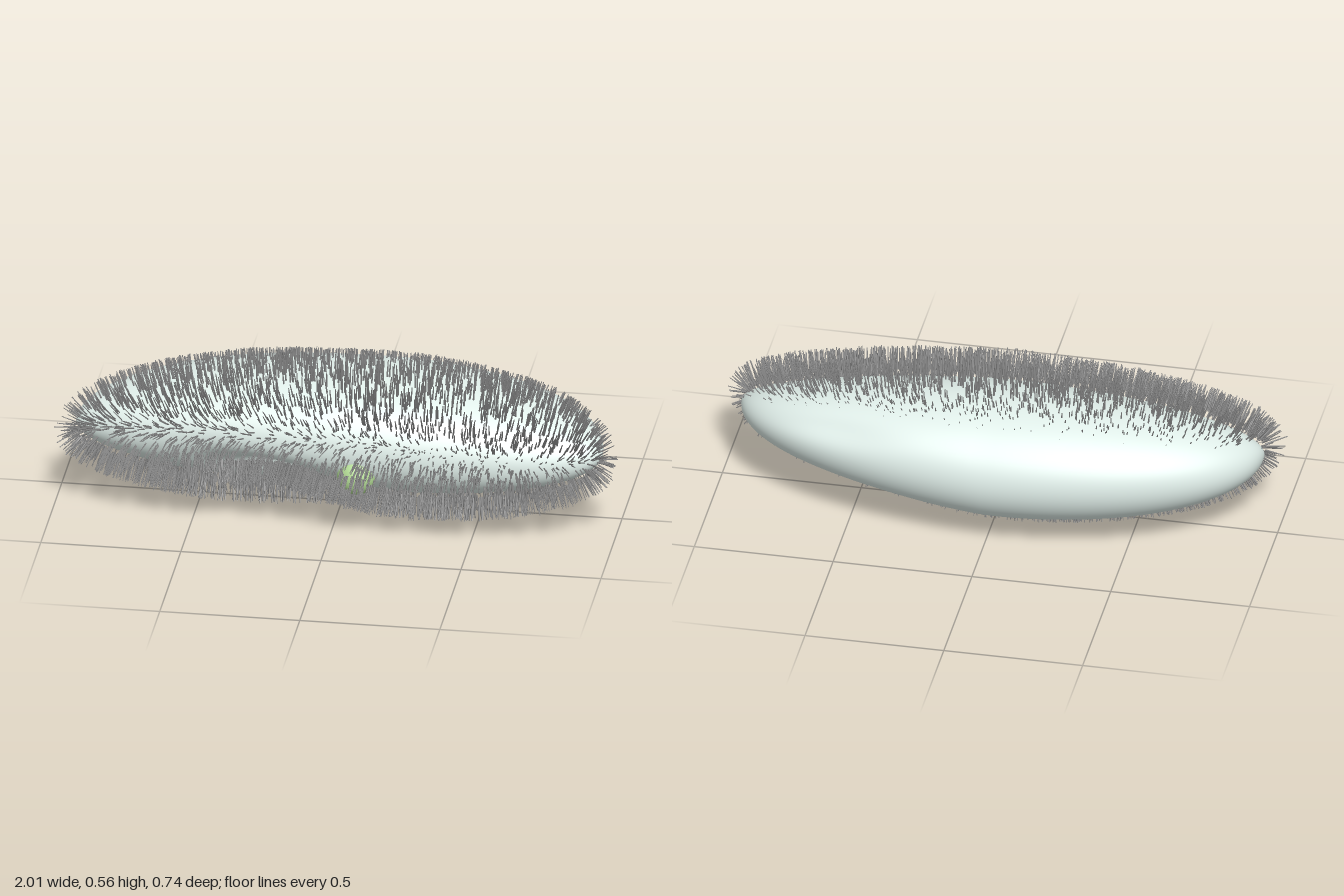
import * as THREE from 'three';
import { mergeGeometries, mergeVertices } from 'three/addons/utils/BufferGeometryUtils.js';

const HALF_LENGTH = 0.94;

// Hollows in the skin: a slanting groove in the lower front that winds under the body, and a faint one behind
const HOLLOWS = [
  { x: -0.2, theta: -0.75, slant: 0.25, wide: 0.2, tall: 0.5, depth: 0.38 },
  { x: 0.45, theta: -2.0, slant: 0.25, wide: 0.3, tall: 0.45, depth: 0.22 },
  { x: 0.55, theta: 2.4, slant: 0, wide: 0.18, tall: 0.3, depth: 0.07 },
];

// Small seeded generator for the scatter of the cilia
function seeded(seed) {
  return () => {
    seed = (seed * 1664525 + 1013904223) % 4294967296;
    return seed / 4294967296;
  };
}

// Point of the body skin: phi runs from tip to tip, theta around (0 = front, PI/2 = top)
function skin(phi, theta) {
  const x = HALF_LENGTH * Math.cos(phi);
  const s = Math.sin(phi);
  let r = s;
  for (const h of HOLLOWS) {
    const dt = theta - h.theta;
    const a = (x - h.x + h.slant * dt) / h.wide;
    const b = dt / h.tall;
    r *= 1 - h.depth * Math.exp(-a * a - b * b);
  }
  const y = 0.22 * r * Math.sin(theta);
  // the tips bend forward, and the +x half leans forward underneath
  const z = 0.06 - 0.135 * s + 0.295 * r * Math.cos(theta) - 0.5 * Math.max(0, x) * y;
  return new THREE.Vector3(x, 0.283 + y, z);
}

function skinNormal(phi, theta) {
  const e = 0.01;
  const along = skin(phi + e, theta).sub(skin(phi - e, theta));
  const around = skin(phi, theta + e).sub(skin(phi, theta - e));
  const n = along.cross(around).normalize();
  const outward = new THREE.Vector3(Math.cos(phi), Math.sin(theta) * Math.sin(phi), Math.cos(theta) * Math.sin(phi));
  return n.dot(outward) < 0 ? n.negate() : n;
}

// Smooth body: a sphere with its poles on the x axis, reshaped by the skin rule
function bodyGeometry() {
  let g = new THREE.SphereGeometry(1, 96, 72).rotateZ(-Math.PI / 2);
  g.deleteAttribute('uv');
  g.deleteAttribute('normal');
  const pos = g.attributes.position;
  for (let i = 0; i < pos.count; i++) {
    const phi = Math.acos(THREE.MathUtils.clamp(pos.getX(i), -1, 1));
    const p = skin(phi, Math.atan2(pos.getY(i), pos.getZ(i)));
    pos.setXYZ(i, p.x, p.y, p.z);
  }
  g = mergeVertices(g, 1e-5);
  g.computeVertexNormals();
  return g;
}

// Cilia: thin spikes on a coat shifted forward, so they stand off in front and sink in behind
function ciliaGeometry(count) {
  const random = seeded(7);
  const up = new THREE.Vector3(0, 1, 0);
  const spike = new THREE.CylinderGeometry(0.0016, 0.0032, 1, 4, 1, true).translate(0, 0.5, 0);
  spike.deleteAttribute('uv');
  const spikes = [];
  while (spikes.length < count) {
    const phi = Math.acos(1 - 2 * random());
    const theta = (random() * 2 - 1) * Math.PI;
    const s = Math.sin(phi);
    // even density along the length, thinning out to a bare back
    const keep = Math.sqrt(s * s + 0.1 * (1 - s * s));
    const cover = THREE.MathUtils.smoothstep(Math.cos(theta), -0.8, -0.4);
    if (random() > keep * cover) continue;
    const n = skinNormal(phi, theta);
    const root = skin(phi, theta).addScaledVector(n, -0.004);
    root.z += 0.05;
    const length = (n.z > 0 ? 0.064 + 0.036 * n.z : 0.064 + 0.05 * n.z) * (0.9 + 0.14 * random());
    n.x += (random() - 0.5) * 0.14;
    n.y += (random() - 0.5) * 0.14;
    n.normalize();
    const q = new THREE.Quaternion().setFromUnitVectors(up, n);
    const m = new THREE.Matrix4().compose(root, q, new THREE.Vector3(1, length, 1));
    spikes.push(spike.clone().applyMatrix4(m));
  }
  return mergeGeometries(spikes);
}

export function createModel() {
  const group = new THREE.Group();
  const add = (name, geometry, color) => {
    const mesh = new THREE.Mesh(geometry, new THREE.MeshStandardMaterial({ color }));
    mesh.name = name;
    group.add(mesh);
    return mesh;
  };

  add('body', bodyGeometry(), 0xdeece7);
  add('cilia', ciliaGeometry(5200), 0x8c8c8c).material.side = THREE.DoubleSide;

  // Food ball at the mouth end of the groove
  const food = add('foodBall', new THREE.SphereGeometry(0.07, 24, 16), 0xb4dc96);
  food.position.set(0.08, 0.195, 0.18);

  return group;
}
